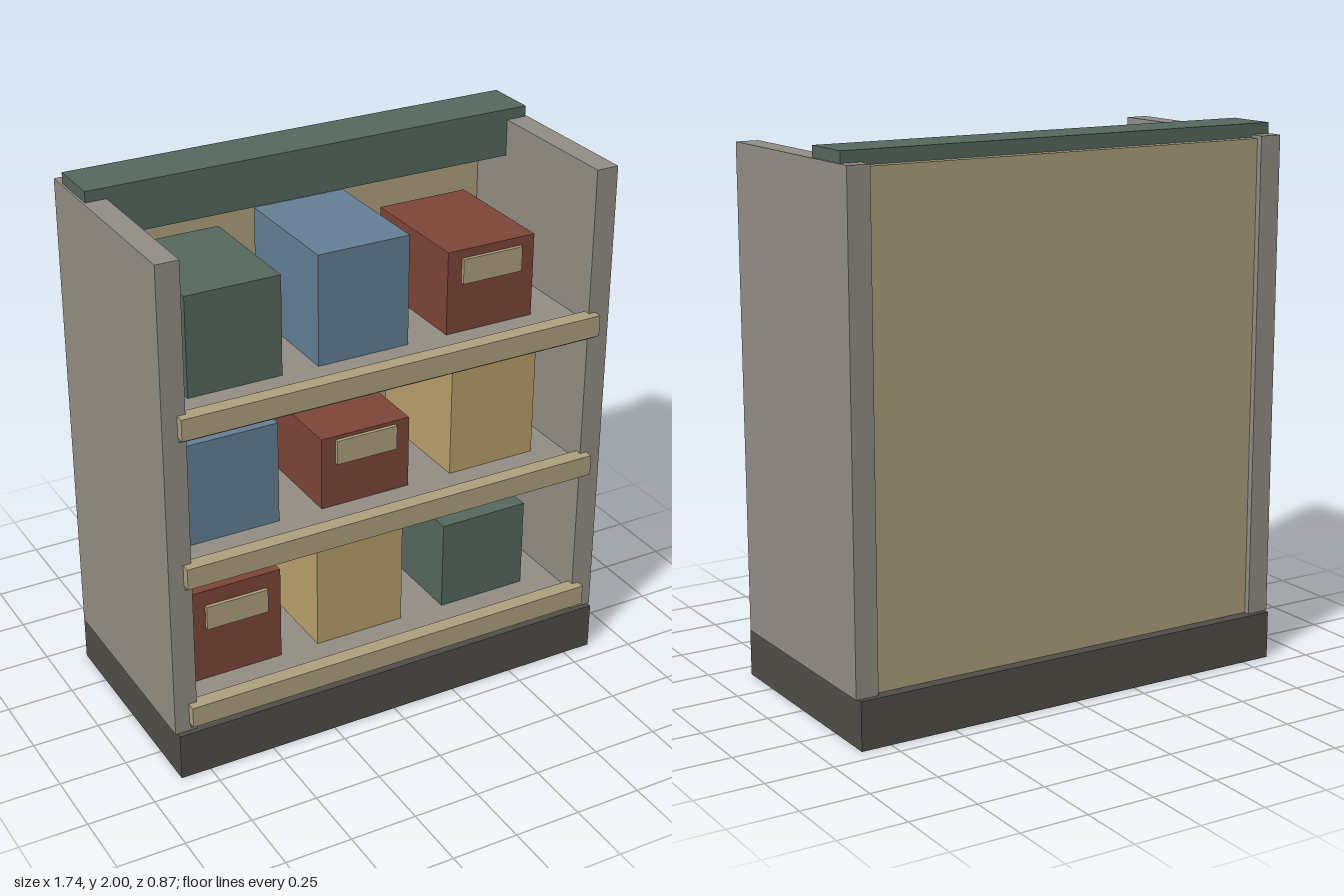
import * as THREE from 'three';

const paint = (color) => new THREE.MeshStandardMaterial({ color });

export function createModel() {
  const model = new THREE.Group();
  const mats = {
    grey: paint(0x948e85), dark: paint(0x504e48), beige: paint(0xaea17e), green: paint(0x56685f),
    blue: paint(0x647f96), red: paint(0x7d4638), tan: paint(0xbaa06c),
  };

  // Box given by its limits on each axis
  function block(name, mat, [x0, x1], [y0, y1], [z0, z1], parent = model) {
    const mesh = new THREE.Mesh(new THREE.BoxGeometry(x1 - x0, y1 - y0, z1 - z0), mats[mat]);
    mesh.position.set((x0 + x1) / 2, (y0 + y1) / 2, (z0 + z1) / 2);
    mesh.name = name;
    parent.add(mesh);
    return mesh;
  }

  // Carcass
  block('plinth', 'dark', [-0.862, 0.862], [0, 0.178], [-0.437, 0.425]);
  block('leftSide', 'grey', [0.785, 0.87], [0.178, 1.96], [-0.417, 0.405]);
  block('rightSide', 'grey', [-0.87, -0.785], [0.178, 1.96], [-0.417, 0.405]);
  block('backPanel', 'beige', [-0.815, 0.815], [0.178, 1.95], [-0.395, -0.35]);
  block('header', 'green', [-0.862, 0.862], [1.823, 2], [-0.36, -0.163]);

  // Shelves with a raised front lip; boxes are [colour, centre x, top y, label bottom y]
  const shelves = [
    { y: 0.255, boxes: [['red', -0.55, 0.62, 0.467], ['tan', -0.05, 0.707], ['green', 0.478, 0.6]] },
    { y: 0.82, boxes: [['blue', -0.55, 1.208], ['red', -0.03, 1.097, 0.99], ['tan', 0.497, 1.262]] },
    { y: 1.385, boxes: [['green', -0.53, 1.755], ['blue', -0.04, 1.796], ['red', 0.467, 1.697, 1.572]] },
  ];
  shelves.forEach(({ y, boxes }) => {
    const shelf = new THREE.Group();
    shelf.name = 'shelf';
    model.add(shelf);
    block('shelfBoard', 'grey', [-0.812, 0.812], [y - 0.06, y], [-0.36, 0.415], shelf);
    block('shelfLip', 'beige', [-0.815, 0.812], [y - 0.045, y + 0.034], [0.38, 0.437], shelf);

    // Storage boxes
    boxes.forEach(([mat, x, top, label]) => {
      block('storageBox', mat, [x - 0.176, x + 0.176], [y, top], [-0.22, 0.25], shelf);
      if (label) block('boxLabel', 'beige', [x - 0.12, x + 0.12], [label, label + 0.093], [0.245, 0.264], shelf);
    });
  });

  return model;
}
